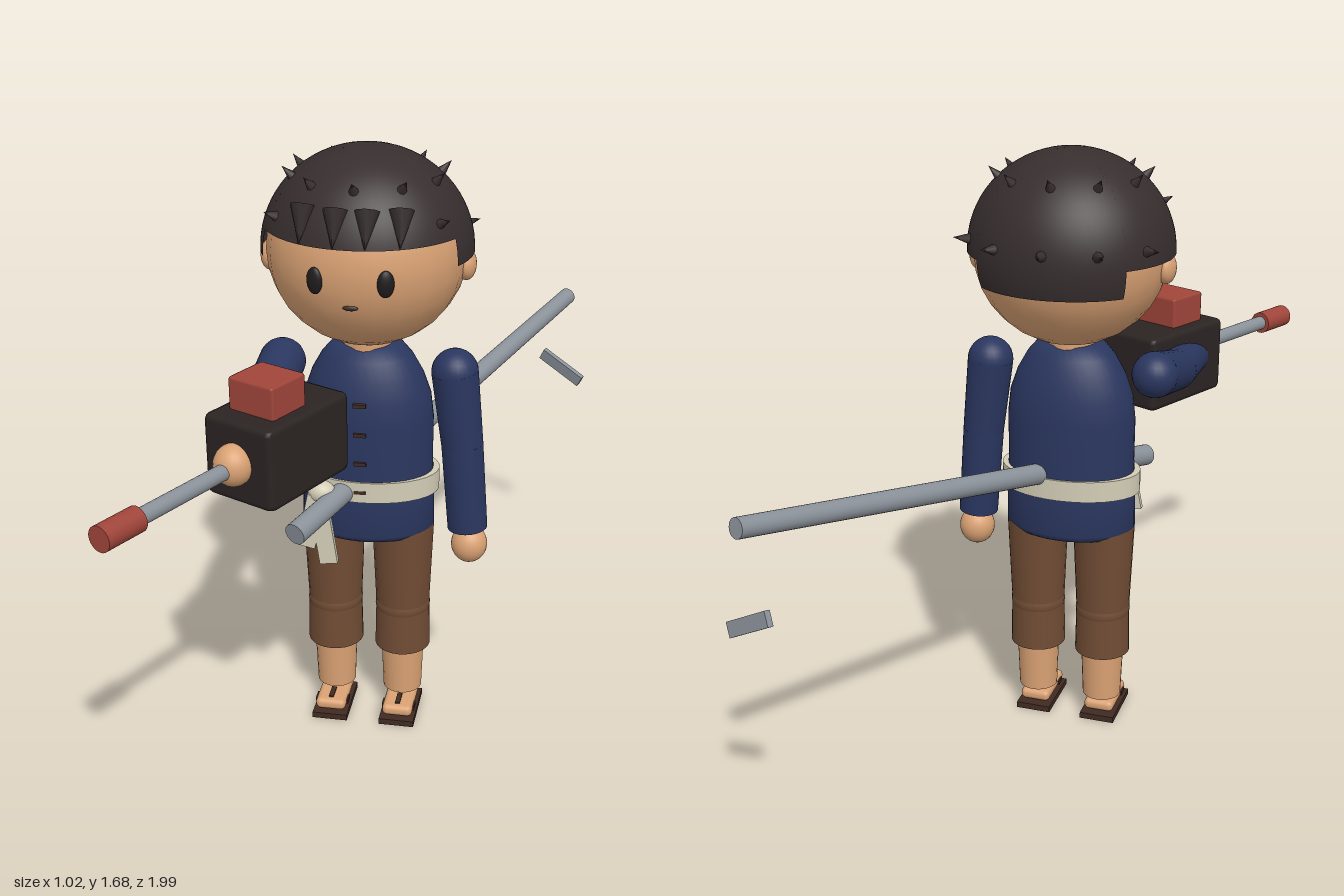
import * as THREE from 'three';
import { RoundedBoxGeometry } from 'three/addons/geometries/RoundedBoxGeometry.js';

const V = (x, y, z) => new THREE.Vector3(x, y, z);
const UP = V(0, 1, 0);
const CX = -0.05, CZ = 0.05; // body axis
const rad = THREE.MathUtils.degToRad;

function material(name, color, side = THREE.FrontSide) {
  const m = new THREE.MeshStandardMaterial({ color, side });
  m.name = name;
  return m;
}

export function createModel() {
  const root = new THREE.Group();
  root.name = 'figure';
  const skin = material('skin', 0xdaa274);
  const hair = material('hair', 0x372e2e, THREE.DoubleSide);
  const navy = material('navy cloth', 0x2a365f);
  const brown = material('brown cloth', 0x704c34);
  const cream = material('cream sash', 0xd3cdb6);
  const dark = material('dark casing', 0x2b2423);
  const red = material('red', 0xa0453a);
  const steel = material('steel', 0x8a9199);
  const ink = material('eye black', 0x1e1b1d);
  const leather = material('sandal leather', 0x402a22);

  function add(name, geo, mat, pos = V(0, 0, 0), parent = root) {
    const m = new THREE.Mesh(geo, mat);
    m.name = name;
    m.position.copy(pos);
    parent.add(m);
    return m;
  }
  function ball(name, mat, pos, rx, ry = rx, rz = rx, parent = root) {
    const m = add(name, new THREE.SphereGeometry(1, 24, 16), mat, pos, parent);
    m.scale.set(rx, ry, rz);
    return m;
  }
  // Tapered cylinder running from a to b
  function rod(name, mat, a, b, ra, rb, parent = root, sides = 24) {
    const d = b.clone().sub(a);
    const m = add(name, new THREE.CylinderGeometry(rb, ra, d.length(), sides), mat, a.clone().lerp(b, 0.5), parent);
    m.quaternion.setFromUnitVectors(UP, d.normalize());
    return m;
  }

  // Head, ears and face
  const HC = V(CX, 1.415, 0.042);
  ball('head', skin, HC, 0.266, 0.26, 0.26);
  for (const s of [-1, 1]) {
    ball('ear', skin, V(CX + s * 0.262, 1.38, 0.042), 0.026, 0.042, 0.04);
    const eye = ball('eye', ink, V(CX + s * 0.09, 1.395, 0.286), 0.022, 0.035, 0.012);
    eye.rotation.y = s * 0.33;
  }
  ball('mouth', leather, V(CX, 1.327, 0.285), 0.02, 0.007, 0.006);

  // Hair shell: short fringe, longer sides, longest at the nape
  const hairParts = [
    ['fringe', 26, 154, 76], ['hairSideRight', 154, 224, 91],
    ['nape', 224, 316, 107], ['hairSideLeft', 316, 386, 91],
  ];
  for (const [name, from, to, down] of hairParts) {
    const g = new THREE.SphereGeometry(1, 20, 20, rad(from), rad(to - from), 0, rad(down));
    add(name, g, hair, HC).scale.set(0.281, 0.27, 0.266);
  }
  // Small spikes standing out of the hair
  function spike(az, el, r, h) {
    const d = V(Math.sin(rad(az)) * Math.cos(rad(el)), Math.sin(rad(el)), Math.cos(rad(az)) * Math.cos(rad(el)));
    const p = HC.clone().add(d.clone().multiply(V(0.281, 0.27, 0.266)).addScaledVector(d, h * 0.3));
    add('hairSpike', new THREE.ConeGeometry(r, h, 8), hair, p).quaternion.setFromUnitVectors(UP, d);
  }
  for (let i = 0; i < 10; i++) spike(i * 36, 46, 0.016, 0.045);
  for (let i = -2; i <= 2; i++) spike(180 + i * 30, 8, 0.018, 0.055);
  for (const s of [-1, 1]) spike(s * 55, 24, 0.016, 0.045);
  // Fringe locks pointing down over the forehead
  for (const x of [-0.128, -0.04, 0.04, 0.122]) {
    const lz = 0.252 - x * x * 1.8;
    const a = V(CX + x, 1.572, HC.z + lz - 0.03);
    const b = V(CX + x * 1.02, 1.485, HC.z + lz + 0.012);
    rod('fringeLock', hair, a, b, 0.032, 0.001, root, 8);
  }

  // Jacket, hips and sash, all flattened front to back
  const profile = [[0, 0.6], [0.165, 0.6], [0.187, 0.62], [0.186, 0.72], [0.181, 0.82], [0.182, 0.94],
    [0.174, 1.01], [0.153, 1.07], [0.125, 1.12], [0.095, 1.155], [0, 1.165]];
  const curve = profile.map(([x, y]) => new THREE.Vector2(x, y));
  add('jacket', new THREE.LatheGeometry(curve, 36), navy, V(CX, 0, CZ)).scale.z = 0.69;
  ball('hips', brown, V(CX, 0.655, CZ), 0.16, 0.08, 0.105);
  rod('neck', skin, V(CX, 1.14, CZ), V(CX, 1.2, CZ), 0.07, 0.07);
  add('sash', new THREE.CylinderGeometry(0.2, 0.2, 0.06, 36), cream, V(CX, 0.76, CZ)).scale.z = 0.66;
  for (let i = 0; i < 4; i++) {
    add('button', new THREE.BoxGeometry(0.034, 0.01, 0.012), leather, V(CX, 1.015 - i * 0.085, 0.176));
  }
  // Sash knot with two hanging ends
  ball('sashKnot', cream, V(-0.152, 0.765, 0.2), 0.038, 0.032, 0.032);
  for (const [x, y, len, tilt] of [[-0.178, 0.682, 0.16, -0.2], [-0.145, 0.655, 0.2, 0.14]]) {
    add('sashEnd', new THREE.BoxGeometry(0.05, len, 0.018), cream, V(x, y, 0.215)).rotation.z = tilt;
  }

  // Arms: left hangs, right reaches forward through the casing
  function arm(name, shoulder, elbow, wrist, hand) {
    const g = new THREE.Group();
    g.name = name;
    root.add(g);
    ball('shoulder', navy, shoulder, 0.064, 0.064, 0.064, g);
    rod('upperArm', navy, shoulder, elbow, 0.064, 0.058, g);
    ball('elbow', navy, elbow, 0.058, 0.058, 0.058, g);
    rod('sleeve', navy, elbow, wrist, 0.058, 0.056, g);
    ball('hand', skin, hand, 0.051, 0.055, 0.051, g);
  }
  arm('leftArm', V(0.188, 1.08, CZ), V(0.212, 0.87, CZ), V(0.232, 0.615, CZ), V(0.238, 0.563, 0.052));
  arm('rightArm', V(-0.287, 1.08, CZ), V(-0.298, 1.03, 0.26), V(-0.292, 1.01, 0.5), V(-0.288, 1.01, 0.57));

  // Legs and sandals
  for (const s of [-1, 1]) {
    const x = CX + s * 0.099;
    const leg = new THREE.Group();
    leg.name = s > 0 ? 'leftLeg' : 'rightLeg';
    root.add(leg);
    rod('thigh', brown, V(x, 0.36, CZ), V(x, 0.62, CZ), 0.077, 0.088, leg);
    ball('knee', brown, V(x, 0.355, CZ), 0.079, 0.06, 0.079, leg);
    rod('trouserCuff', brown, V(x, 0.22, CZ), V(x, 0.36, CZ), 0.08, 0.077, leg);
    rod('shin', skin, V(x, 0.072, CZ), V(x, 0.23, CZ), 0.056, 0.062, leg);
    add('foot', new RoundedBoxGeometry(0.088, 0.034, 0.155, 3, 0.015), skin, V(x, 0.041, 0.085), leg);
    add('sole', new THREE.BoxGeometry(0.102, 0.018, 0.176), leather, V(x, 0.009, 0.083), leg);
    add('strap', new THREE.BoxGeometry(0.096, 0.014, 0.03), leather, V(x, 0.039, 0.118), leg);
    add('thong', new THREE.BoxGeometry(0.014, 0.006, 0.05), leather, V(x, 0.059, 0.118), leg);
  }

  // Held device: chamfered casing, top block, barrel and red muzzle
  const device = new THREE.Group();
  device.name = 'heldDevice';
  device.position.set(-0.212, 1.01, 0.42);
  device.rotation.y = -rad(25.5);
  root.add(device);
  add('casing', new RoundedBoxGeometry(0.215, 0.22, 0.319, 1, 0.018), dark, V(0, 0, 0), device);
  add('topBlock', new RoundedBoxGeometry(0.142, 0.1, 0.13, 1, 0.008), red, V(0, 0.145, 0.036), device);
  rod('barrel', steel, V(0, -0.002, 0.14), V(0, -0.002, 0.56), 0.021, 0.021, device);
  rod('muzzle', red, V(0, -0.002, 0.505), V(0, -0.002, 0.625), 0.033, 0.033, device);

  // Long scabbard through the sash, with a detached guard plate near its end
  const hilt = V(-0.19, 0.717, 0.365), tip = V(0.435, 0.962, -0.968);
  rod('scabbard', steel, hilt, tip, 0.031, 0.026);
  const axis = tip.clone().sub(hilt).normalize();
  const long = V(0.13, -0.08, 0.065);
  long.addScaledVector(axis, -long.dot(axis)).normalize();
  const short = axis.clone().cross(long);
  const guard = add('guardPlate', new THREE.BoxGeometry(0.16, 0.04, 0.016), steel, V(0.428, 0.712, -0.955));
  guard.quaternion.setFromRotationMatrix(new THREE.Matrix4().makeBasis(long, short, axis));
  return root;
}
